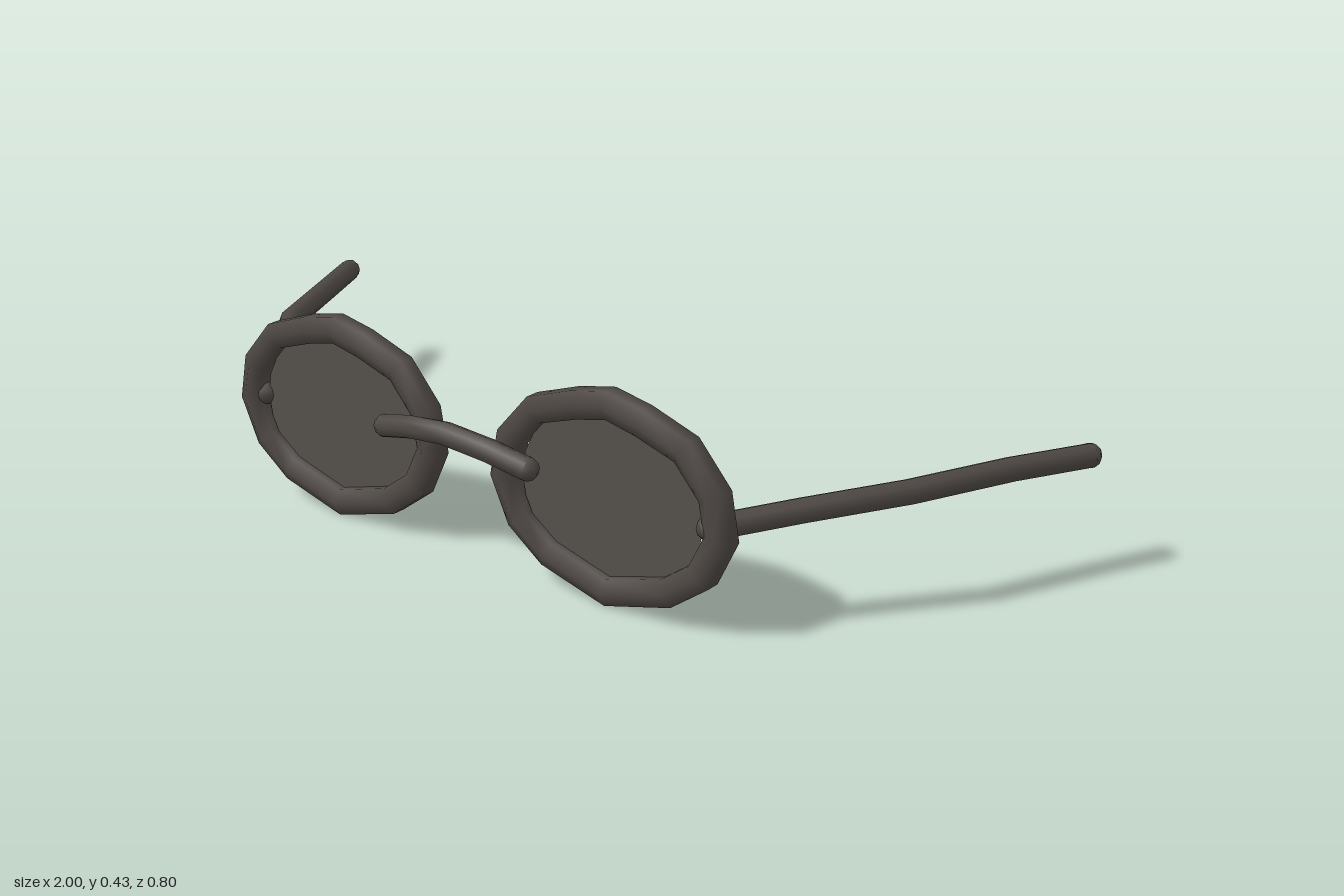
import * as THREE from 'three';

const frameMaterial = new THREE.MeshStandardMaterial({ color: 0x4d4743 });
const lensMaterial = new THREE.MeshStandardMaterial({ color: 0x55504c, side: THREE.DoubleSide });

// Low-poly tube with one cross-section at each given point
function tube(points, radius, sides, closed = false) {
  const curve = new THREE.CatmullRomCurve3(points, closed);
  curve.getUtoTmapping = (u) => u;
  const segments = closed ? points.length : points.length - 1;
  return new THREE.Mesh(new THREE.TubeGeometry(curve, segments, radius, sides, closed), frameMaterial);
}

// Open tube with rounded ends
function rod(name, coords, radius) {
  const points = coords.map((c) => new THREE.Vector3(...c));
  const group = new THREE.Group();
  group.name = name;
  const shaft = tube(points, radius, 8);
  shaft.name = name + 'Shaft';
  group.add(shaft);
  for (const p of [points[0], points[points.length - 1]]) {
    const tip = new THREE.Mesh(new THREE.SphereGeometry(radius * 0.98, 8, 6), frameMaterial);
    tip.name = name + 'Tip';
    tip.position.copy(p);
    group.add(tip);
  }
  return group;
}

// Half of the rim centreline, from top to bottom, relative to the lens centre
const HALF_RIM = [
  [0, 0.188], [0.075, 0.172], [0.17, 0.14], [0.234, 0.067],
  [0.25, -0.014], [0.212, -0.094], [0.14, -0.147], [0, -0.186],
];

export function createModel() {
  const model = new THREE.Group();
  model.name = 'spectacles';

  const outline = [...HALF_RIM, ...HALF_RIM.slice(1, -1).reverse().map(([x, y]) => [-x, y])];

  for (const side of [1, -1]) {
    const label = side > 0 ? 'left' : 'right';

    // Oval rim
    const rim = tube(outline.map(([x, y]) => new THREE.Vector3(x, y, 0)), 0.032, 6, true);
    rim.name = label + 'Rim';
    rim.position.set(side * 0.345, 0.221, 0.304);
    model.add(rim);

    // Flat lens, slightly narrower than the rim opening
    const lens = new THREE.Mesh(new THREE.CircleGeometry(1, 24), lensMaterial);
    lens.name = label + 'Lens';
    lens.scale.set(0.21, 0.175, 1);
    lens.position.copy(rim.position);
    model.add(lens);

    // Temple arm sweeping outwards to the back
    model.add(rod(label + 'Temple', [
      [side * 0.565, 0.221, 0.3],
      [side * 0.67, 0.236, 0.16],
      [side * 0.8, 0.254, 0],
      [side * 0.895, 0.255, -0.21],
      [side * 0.976, 0.251, -0.375],
    ], 0.025));
  }

  // Arched bridge in front of the rims
  model.add(rod('bridge', [
    [-0.182, 0.252, 0.346], [-0.1, 0.273, 0.36], [0, 0.288, 0.373],
    [0.1, 0.273, 0.36], [0.182, 0.252, 0.346],
  ], 0.024));

  return model;
}
